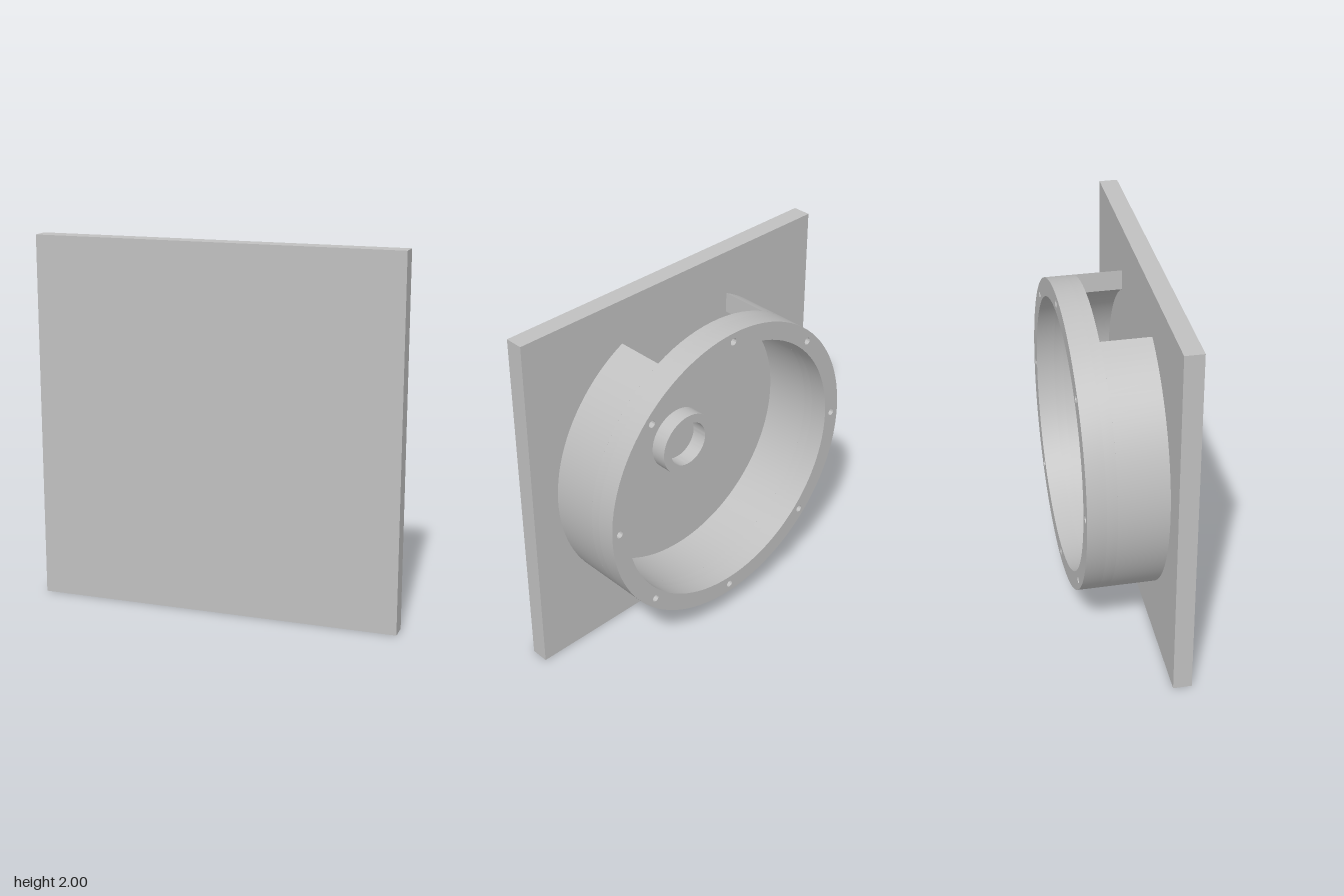
import * as THREE from 'three';
import { toCreasedNormals } from 'three/addons/utils/BufferGeometryUtils.js';

const OUTER = 0.84, INNER = 0.74, NOTCH = 0.37;
const PLATE_BACK = 0.16, NOTCH_END = -0.105, REAR = -0.26, BORE_END = -0.16;

export function createModel() {
  const group = new THREE.Group();
  group.name = 'flangedHousing';
  const grey = new THREE.MeshStandardMaterial({ color: 0xc0c0c0 });
  grey.name = 'light grey';

  const add = (name, geometry, y, z) => {
    const mesh = new THREE.Mesh(geometry, grey);
    mesh.name = name;
    mesh.position.set(0, y, z);
    group.add(mesh);
  };
  // Extrude a profile between two z levels, keeping its edges sharp
  const extrude = (name, shape, z0, z1) => {
    const g = new THREE.ExtrudeGeometry(shape, { depth: z1 - z0, bevelEnabled: false, curveSegments: 48 });
    add(name, toCreasedNormals(g, 0.5), 1, z0);
  };
  const circle = (Type, r, x = 0, y = 0) => new Type().absarc(x, y, r, 0, Math.PI * 2, false);
  const ring = (outer, inner) => {
    const s = circle(THREE.Shape, outer);
    s.holes.push(circle(THREE.Path, inner));
    return s;
  };

  // Square mounting plate
  add('plate', new THREE.BoxGeometry(2, 2, 0.1), 1, 0.21);

  // Rim face with eight blind screw holes
  const rim = ring(OUTER, INNER);
  for (let i = 0; i < 8; i++) {
    const a = (i * Math.PI) / 4;
    rim.holes.push(circle(THREE.Path, 0.02, 0.79 * Math.cos(a), 0.79 * Math.sin(a)));
  }
  extrude('drilledRim', rim, REAR, BORE_END);
  extrude('rimBase', ring(OUTER, INNER), BORE_END, NOTCH_END);

  // Housing wall, open at the top between two upright notch sides
  const ao = Math.acos(NOTCH / OUTER), ai = Math.acos(NOTCH / INNER);
  const wall = new THREE.Shape();
  wall.absarc(0, 0, OUTER, Math.PI - ao, Math.PI * 2 + ao, false);
  wall.absarc(0, 0, INNER, Math.PI * 2 + ai, Math.PI - ai, true);
  wall.closePath();
  extrude('notchedWall', wall, NOTCH_END, PLATE_BACK);

  // Small central bearing ring
  extrude('centreBoss', ring(0.18, 0.128), 0.07, PLATE_BACK);

  return group;
}
